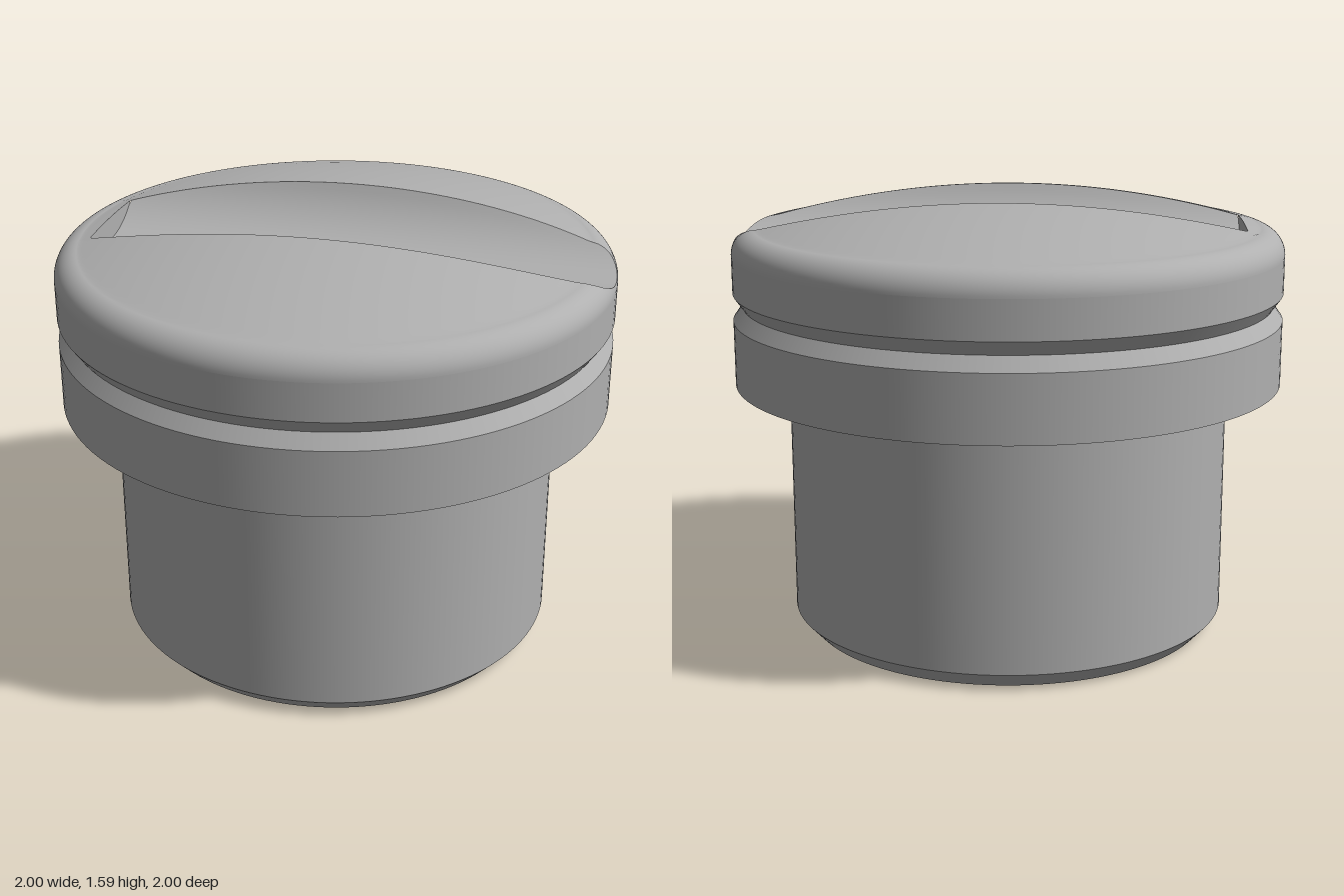
import * as THREE from 'three';
import { mergeGeometries } from 'three/addons/utils/BufferGeometryUtils.js';

const SEG = 128;
const GROOVE_R = 0.332, GROOVE_Y = 1.747, GROOVE_END = -0.85;

// Lathe with a hard edge at every profile point
function creasedLathe(profile) {
  const bands = [];
  for (let i = 0; i < profile.length - 1; i++) {
    const pair = [profile[i], profile[i + 1]].map(([r, y]) => new THREE.Vector2(r, y));
    bands.push(new THREE.LatheGeometry(pair, SEG));
  }
  return mergeGeometries(bands);
}

// Surface from a grid of points; closed grids wrap around their columns
function gridSurface(rows, cols, closed, point) {
  const n = closed ? cols : cols + 1;
  const positions = [], index = [];
  for (let i = 0; i <= rows; i++) {
    for (let j = 0; j < n; j++) positions.push(...point(i / rows, j / cols));
  }
  for (let i = 0; i < rows; i++) {
    for (let j = 0; j < cols; j++) {
      const k = (j + 1) % n;
      const a = i * n + j, b = a + n, c = (i + 1) * n + k, d = i * n + k;
      index.push(a, d, b, b, d, c);
    }
  }
  const g = new THREE.BufferGeometry();
  g.setAttribute('position', new THREE.Float32BufferAttribute(positions, 3));
  g.setIndex(index);
  g.computeVertexNormals();
  return g;
}

// Height of the domed top and of the groove floor
const domeY = (r) => 1.608 - 0.128 * (r / 0.91) ** 2;
const grooveY = (z) => GROOVE_Y - Math.sqrt(Math.max(0, GROOVE_R ** 2 - z * z));

// Cap profile: dome first, then the rounded rim
function capProfile(t) {
  if (t < 0.7) {
    const r = (t / 0.7) * 0.91;
    return [r, domeY(r)];
  }
  const a = ((t - 0.7) / 0.3) * Math.PI / 2;
  return [0.91 + 0.09 * Math.sin(a), 1.39 + 0.09 * Math.cos(a)];
}

// Profile parameter at which a ray from the centre leaves the groove
function grooveEdge(theta) {
  let lo = 0, hi = 1;
  for (let i = 0; i < 40; i++) {
    const t = (lo + hi) / 2;
    const [r, y] = capProfile(t);
    const z = r * Math.sin(theta);
    const inside = Math.abs(z) < GROOVE_R && grooveY(z) < y && r * Math.cos(theta) > GROOVE_END;
    if (inside) lo = t; else hi = t;
  }
  return lo;
}

export function createModel() {
  const model = new THREE.Group();
  const grey = new THREE.MeshStandardMaterial({ color: 0xb0b0b0 });
  grey.name = 'grey';
  const add = (name, geometry) => {
    const mesh = new THREE.Mesh(geometry, grey);
    mesh.name = name;
    model.add(mesh);
    return mesh;
  };

  // Hollow shank, flange and V-shaped ring groove
  add('body', creasedLathe([
    [0, 1.1], [0.7, 1.1], [0.7, 0], [0.75, 0], [0.805, 0.06], [0.805, 0.87],
    [0.855, 0.92], [1, 0.92], [1, 1.155], [0.965, 1.205], [1, 1.255], [1, 1.39],
  ]));

  // Domed cap around the finger groove
  const rays = 360;
  const edges = Array.from({ length: rays }, (_, j) => grooveEdge((j / rays) * 2 * Math.PI));
  const edgeAt = (v) => edges[Math.round(v * rays) % rays];
  add('domedCap', gridSurface(40, rays, true, (u, v) => {
    const theta = v * 2 * Math.PI, t0 = edgeAt(v);
    const [r, y] = capProfile(t0 + (1 - t0) * u);
    return [r * Math.cos(theta), y, r * Math.sin(theta)];
  }));

  // Cylindrical groove floor, open at the left rim
  add('grooveFloor', gridSurface(20, rays, true, (u, v) => {
    const theta = v * 2 * Math.PI;
    const r = capProfile(edgeAt(v))[0] * u;
    const z = r * Math.sin(theta);
    return [r * Math.cos(theta), grooveY(z), z];
  }));

  // Flat wall closing the other end of the groove
  add('grooveEndWall', gridSurface(1, 24, false, (u, v) => {
    const z = 0.21 * (1 - 2 * v);
    const top = domeY(Math.hypot(GROOVE_END, z));
    return [GROOVE_END, u ? top : grooveY(z), z];
  }));

  // Rectangular socket inside the shank
  const rectangle = (Type, x0, x1, h) => new Type(
    [[x0, -h], [x1, -h], [x1, h], [x0, h]].map(([x, y]) => new THREE.Vector2(x, y)));
  const frame = rectangle(THREE.Shape, -0.67, -0.02, 0.23);
  frame.holes.push(rectangle(THREE.Path, -0.56, -0.125, 0.115));
  const socket = new THREE.ExtrudeGeometry(frame, { depth: 1.1, bevelEnabled: false });
  socket.rotateX(-Math.PI / 2);
  add('socket', socket).position.y = 0.003;

  // Small wedge-shaped catch on the back of the socket
  const wedge = new THREE.Shape([[0, 0], [0.05, 0.04], [0, 0.08]].map(([x, y]) => new THREE.Vector2(x, y)));
  const catchGeometry = new THREE.ExtrudeGeometry(wedge, { depth: 0.07, bevelEnabled: false });
  catchGeometry.rotateY(Math.PI / 2);
  add('socketCatch', catchGeometry).position.set(-0.29, 0.01, -0.23);

  return model;
}
